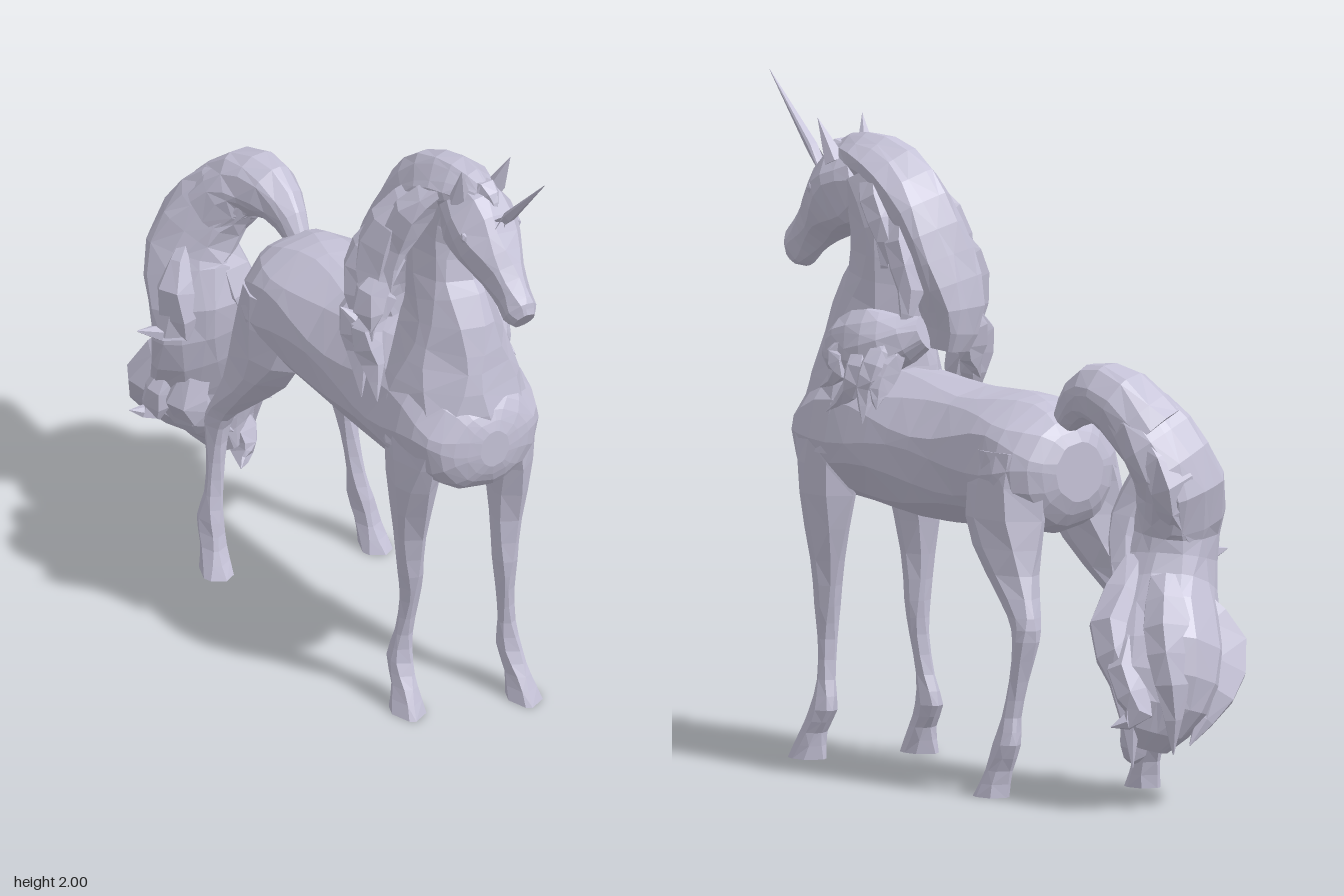
import * as THREE from 'three';

const coat = new THREE.MeshStandardMaterial({ color: 0xc4c1d6 });
coat.name = 'pale lilac coat';

const MID = 0.03; // centre line of the body

// Faceted loft through sections [x, y, z, half width, half depth]
function loft(name, secs, { sides = 10, steps = 2, normal = null, ridges = 0, amp = 0, twist = 0 } = {}) {
  const curve = (f) => new THREE.CatmullRomCurve3(secs.map(f), false, 'catmullrom', 0.5);
  const path = curve((s) => new THREE.Vector3(s[0], s[1], s[2]));
  const size = curve((s) => new THREE.Vector3(s[3], s[4], 0));
  const rings = (secs.length - 1) * steps;
  const pos = [], index = [];
  for (let i = 0; i <= rings; i++) {
    const t = i / rings, c = path.getPoint(t), r = size.getPoint(t);
    const dir = normal || path.getTangent(t);
    const u = new THREE.Vector3(1, 0, 0).addScaledVector(dir, -dir.x).normalize();
    const v = dir.clone().cross(u);
    for (let j = 0; j < sides; j++) {
      // uneven spacing gives irregular facets
      const a = ((j + 0.28 * Math.sin(i * 7.1 + j * 3.7)) / sides) * Math.PI * 2;
      const k = 1 + amp * Math.cos(ridges * a + twist * t);
      const p = c.clone()
        .addScaledVector(u, Math.cos(a) * Math.max(r.x, 0.001) * k)
        .addScaledVector(v, Math.sin(a) * Math.max(r.y, 0.001) * k);
      pos.push(p.x, p.y, p.z);
    }
  }
  for (let i = 0; i < rings; i++) {
    for (let j = 0; j < sides; j++) {
      const a = i * sides + j, b = i * sides + ((j + 1) % sides), c = a + sides, d = b + sides;
      if ((i + j) % 2) index.push(a, b, c, b, d, c);
      else index.push(a, b, d, a, d, c);
    }
  }
  // end caps
  const first = path.getPoint(0), last = path.getPoint(1), n = pos.length / 3;
  pos.push(first.x, first.y, first.z, last.x, last.y, last.z);
  for (let j = 0; j < sides; j++) {
    const k = (j + 1) % sides, e = rings * sides;
    index.push(n, k, j, n + 1, e + j, e + k);
  }
  const geo = new THREE.BufferGeometry();
  geo.setAttribute('position', new THREE.Float32BufferAttribute(pos, 3));
  geo.setIndex(index);
  return facet(name, geo);
}

function facet(name, geo) {
  const g = geo.index ? geo.toNonIndexed() : geo;
  g.computeVertexNormals();
  const mesh = new THREE.Mesh(g, coat);
  mesh.name = name;
  return mesh;
}

// Tapered lock of hair through four points
function lock(name, r, pts) {
  const taper = [0.6, 1, 0.8, 0.03];
  return loft(name, pts.map((p, i) => [...p, r * taper[i], r * taper[i]]), { sides: 6 });
}

// Leg with level rings; side -1 mirrors it, lag moves the lower part back
function leg(name, secs, side, lag) {
  const placed = secs.map(([x, y, z, w, d]) =>
    [MID + side * x, y, z - lag * Math.min(1, Math.max(0, (1 - y) / 0.85)), w, d]);
  return loft(name, placed, { sides: 8, normal: new THREE.Vector3(0, -1, 0) });
}

export function createModel() {
  const model = new THREE.Group();
  model.name = 'unicorn';

  // Barrel, from rump to chest
  model.add(loft('torso', [
    [MID, 0.96, -0.46, 0.09, 0.09], [MID, 0.955, -0.42, 0.17, 0.16], [MID, 0.96, -0.32, 0.222, 0.2],
    [MID, 0.968, -0.18, 0.22, 0.205], [MID, 0.96, 0, 0.21, 0.208], [MID, 0.965, 0.2, 0.215, 0.218],
    [MID, 0.98, 0.38, 0.23, 0.215], [MID, 0.99, 0.55, 0.228, 0.21], [MID, 0.97, 0.67, 0.195, 0.17],
    [MID, 0.965, 0.72, 0.13, 0.12], [MID, 0.965, 0.742, 0.05, 0.06],
  ], { sides: 16, normal: new THREE.Vector3(0, 0, 1) }));

  // Neck, spreading into the shoulders
  model.add(loft('neck', [
    [MID, 0.93, 0.5, 0.228, 0.235], [MID, 1.07, 0.5, 0.212, 0.23], [MID, 1.2, 0.495, 0.165, 0.21],
    [MID, 1.32, 0.49, 0.126, 0.185], [MID, 1.45, 0.455, 0.104, 0.145], [0.04, 1.6, 0.45, 0.098, 0.125],
    [0.045, 1.74, 0.52, 0.085, 0.1],
  ], { sides: 12 }));

  // Head, from poll to muzzle
  model.add(loft('head', [
    [0.045, 1.73, 0.52, 0.08, 0.11], [0.045, 1.69, 0.61, 0.11, 0.135], [0.045, 1.63, 0.69, 0.1, 0.107],
    [0.047, 1.57, 0.76, 0.066, 0.08], [0.05, 1.52, 0.815, 0.051, 0.069], [0.05, 1.487, 0.85, 0.051, 0.066],
    [0.05, 1.468, 0.874, 0.034, 0.044],
  ], { sides: 12 }));
  model.add(loft('horn', [[0.045, 1.7, 0.71, 0.026, 0.026], [0.045, 2.0, 1.0, 0.001, 0.001]], { sides: 6 }));

  for (const s of [-1, 1]) {
    const ear = facet('ear', new THREE.ConeGeometry(0.036, 0.14, 5));
    ear.scale.z = 0.8;
    ear.position.set(0.045 + s * 0.072, 1.84, 0.64);
    ear.rotation.set(0.4, 0, -s * 0.18);
    model.add(ear);

    const eye = facet('eye', new THREE.IcosahedronGeometry(0.018, 0));
    eye.scale.x = 0.6;
    eye.position.set(0.045 + s * 0.092, 1.69, 0.69);
    model.add(eye);

    // Legs, the right pair standing further back
    model.add(leg('frontLeg', [
      [0.135, 0.98, 0.55, 0.09, 0.145], [0.155, 0.8, 0.55, 0.068, 0.108], [0.15, 0.6, 0.555, 0.046, 0.06],
      [0.142, 0.46, 0.565, 0.038, 0.043], [0.14, 0.36, 0.567, 0.028, 0.032], [0.148, 0.24, 0.562, 0.027, 0.03],
      [0.156, 0.15, 0.567, 0.036, 0.05], [0.162, 0.08, 0.605, 0.038, 0.046], [0.168, 0, 0.63, 0.05, 0.07],
    ], s, s < 0 ? 0.11 : 0));
    model.add(leg('hindLeg', [
      [0.125, 1.02, -0.28, 0.09, 0.15], [0.145, 0.82, -0.28, 0.088, 0.162], [0.165, 0.66, -0.345, 0.066, 0.1],
      [0.185, 0.54, -0.428, 0.045, 0.06], [0.195, 0.47, -0.448, 0.038, 0.045], [0.205, 0.35, -0.428, 0.028, 0.032],
      [0.215, 0.24, -0.405, 0.028, 0.032], [0.225, 0.16, -0.397, 0.036, 0.052], [0.232, 0.08, -0.367, 0.038, 0.046],
      [0.24, 0, -0.34, 0.05, 0.062],
    ], s, s < 0 ? 0.115 : 0));
  }

  // Mane: crest along the neck, falling to the right side
  const mane = new THREE.Group();
  mane.name = 'mane';
  mane.add(loft('maneCrest', [
    [0.045, 1.79, 0.655, 0.04, 0.04], [0.035, 1.785, 0.56, 0.08, 0.08], [0.015, 1.74, 0.45, 0.1, 0.1],
    [-0.005, 1.64, 0.365, 0.11, 0.115], [-0.035, 1.5, 0.3, 0.11, 0.1], [-0.06, 1.36, 0.26, 0.095, 0.085],
    [-0.05, 1.24, 0.27, 0.06, 0.06],
  ], { sides: 16, ridges: 4, amp: 0.1, twist: 4 }));
  [
    [0.06, [[-0.02, 1.78, 0.54], [-0.09, 1.68, 0.47], [-0.13, 1.55, 0.43], [-0.16, 1.42, 0.46]]],
    [0.07, [[-0.03, 1.74, 0.45], [-0.12, 1.62, 0.4], [-0.17, 1.46, 0.38], [-0.2, 1.24, 0.42]]],
    [0.07, [[-0.06, 1.62, 0.36], [-0.14, 1.5, 0.33], [-0.18, 1.36, 0.33], [-0.17, 1.13, 0.36]]],
    [0.05, [[-0.1, 1.5, 0.4], [-0.19, 1.4, 0.4], [-0.21, 1.3, 0.4], [-0.28, 1.36, 0.37]]],
    [0.055, [[-0.1, 1.38, 0.3], [-0.18, 1.28, 0.3], [-0.18, 1.16, 0.32], [-0.2, 1.02, 0.36]]],
    [0.05, [[-0.12, 1.36, 0.38], [-0.19, 1.26, 0.37], [-0.18, 1.15, 0.4], [-0.2, 1.05, 0.45]]],
    [0.05, [[-0.08, 1.4, 0.28], [-0.13, 1.3, 0.26], [-0.14, 1.21, 0.28], [-0.18, 1.14, 0.28]]],
    [0.055, [[0.06, 1.78, 0.5], [0.09, 1.68, 0.43], [0.09, 1.56, 0.38], [0.1, 1.42, 0.4]]],
    [0.055, [[0.05, 1.68, 0.38], [0.07, 1.56, 0.34], [0.07, 1.42, 0.3], [0.11, 1.28, 0.3]]],
    [0.035, [[0.045, 1.8, 0.6], [0.05, 1.81, 0.65], [0.055, 1.77, 0.68], [0.06, 1.71, 0.71]]],
  ].forEach(([r, p]) => mane.add(lock('maneLock', r, p)));

  // Curled tuft over the left shoulder
  mane.add(loft('shoulderTuft', [
    [0.06, 1.3, 0.25, 0.05, 0.05], [0.125, 1.26, 0.34, 0.075, 0.095], [0.16, 1.245, 0.44, 0.065, 0.1],
    [0.165, 1.23, 0.53, 0.05, 0.065], [0.16, 1.25, 0.58, 0.01, 0.02],
  ], { sides: 14, ridges: 3, amp: 0.1, twist: 4 }));
  [
    [0.05, [[0.15, 1.27, 0.32], [0.185, 1.2, 0.31], [0.21, 1.13, 0.33], [0.24, 1.03, 0.31]]],
    [0.05, [[0.16, 1.26, 0.4], [0.195, 1.19, 0.37], [0.21, 1.12, 0.4], [0.24, 1.05, 0.49]]],
    [0.045, [[0.17, 1.27, 0.44], [0.195, 1.22, 0.47], [0.205, 1.17, 0.46], [0.23, 1.12, 0.53]]],
    [0.04, [[0.12, 1.26, 0.28], [0.16, 1.2, 0.29], [0.2, 1.13, 0.29], [0.22, 1.08, 0.27]]],
  ].forEach(([r, p]) => mane.add(lock('tuftLock', r, p)));
  model.add(mane);

  // Tail: arched, then waving down to curled tips
  const tail = new THREE.Group();
  tail.name = 'tail';
  tail.add(loft('tailArch', [
    [0.04, 1.07, -0.38, 0.03, 0.03], [0.04, 1.145, -0.44, 0.05, 0.06], [0.03, 1.2, -0.53, 0.085, 0.092],
    [0.01, 1.185, -0.64, 0.11, 0.105], [-0.04, 1.09, -0.72, 0.12, 0.115],
  ], { sides: 14 }));
  tail.add(loft('tailFall', [
    [0.01, 1.185, -0.64, 0.09, 0.09], [-0.04, 1.08, -0.725, 0.125, 0.115], [-0.1, 0.94, -0.765, 0.135, 0.135],
    [-0.12, 0.8, -0.715, 0.14, 0.13], [-0.09, 0.64, -0.735, 0.165, 0.125], [-0.02, 0.46, -0.825, 0.18, 0.145],
    [0.03, 0.31, -0.85, 0.15, 0.115], [0.06, 0.18, -0.82, 0.06, 0.05],
  ], { sides: 16, ridges: 3, amp: 0.1, twist: 7 }));
  [
    [0.07, [[-0.13, 1.0, -0.72], [-0.2, 0.86, -0.68], [-0.2, 0.72, -0.68], [-0.32, 0.73, -0.72]]],
    [0.07, [[0.03, 1.1, -0.75], [-0.02, 0.96, -0.83], [-0.07, 0.84, -0.81], [-0.16, 0.68, -0.8]]],
    [0.065, [[-0.05, 0.98, -0.67], [-0.03, 0.84, -0.635], [0.02, 0.7, -0.66], [0.08, 0.52, -0.71]]],
    [0.075, [[0.0, 0.72, -0.7], [0.13, 0.54, -0.75], [0.14, 0.38, -0.82], [0.14, 0.13, -0.85]]],
    [0.075, [[-0.12, 0.62, -0.8], [-0.19, 0.47, -0.86], [-0.12, 0.33, -0.91], [-0.02, 0.19, -0.92]]],
    [0.075, [[0, 0.68, -0.82], [0.04, 0.54, -0.89], [0.06, 0.38, -0.93], [0.05, 0.17, -0.93]]],
    [0.065, [[-0.1, 0.6, -0.7], [-0.16, 0.46, -0.71], [-0.08, 0.36, -0.74], [0.03, 0.26, -0.75]]],
    [0.045, [[0.06, 0.32, -0.82], [0.09, 0.23, -0.8], [0.08, 0.16, -0.78], [0.05, 0.13, -0.74]]],
    [0.045, [[-0.16, 0.6, -0.75], [-0.22, 0.48, -0.76], [-0.23, 0.4, -0.78], [-0.3, 0.41, -0.8]]],
    [0.055, [[0.08, 0.55, -0.78], [0.16, 0.42, -0.84], [0.16, 0.3, -0.9], [0.23, 0.26, -0.86]]],
  ].forEach(([r, p]) => tail.add(lock('tailLock', r, p)));
  model.add(tail);

  return model;
}
